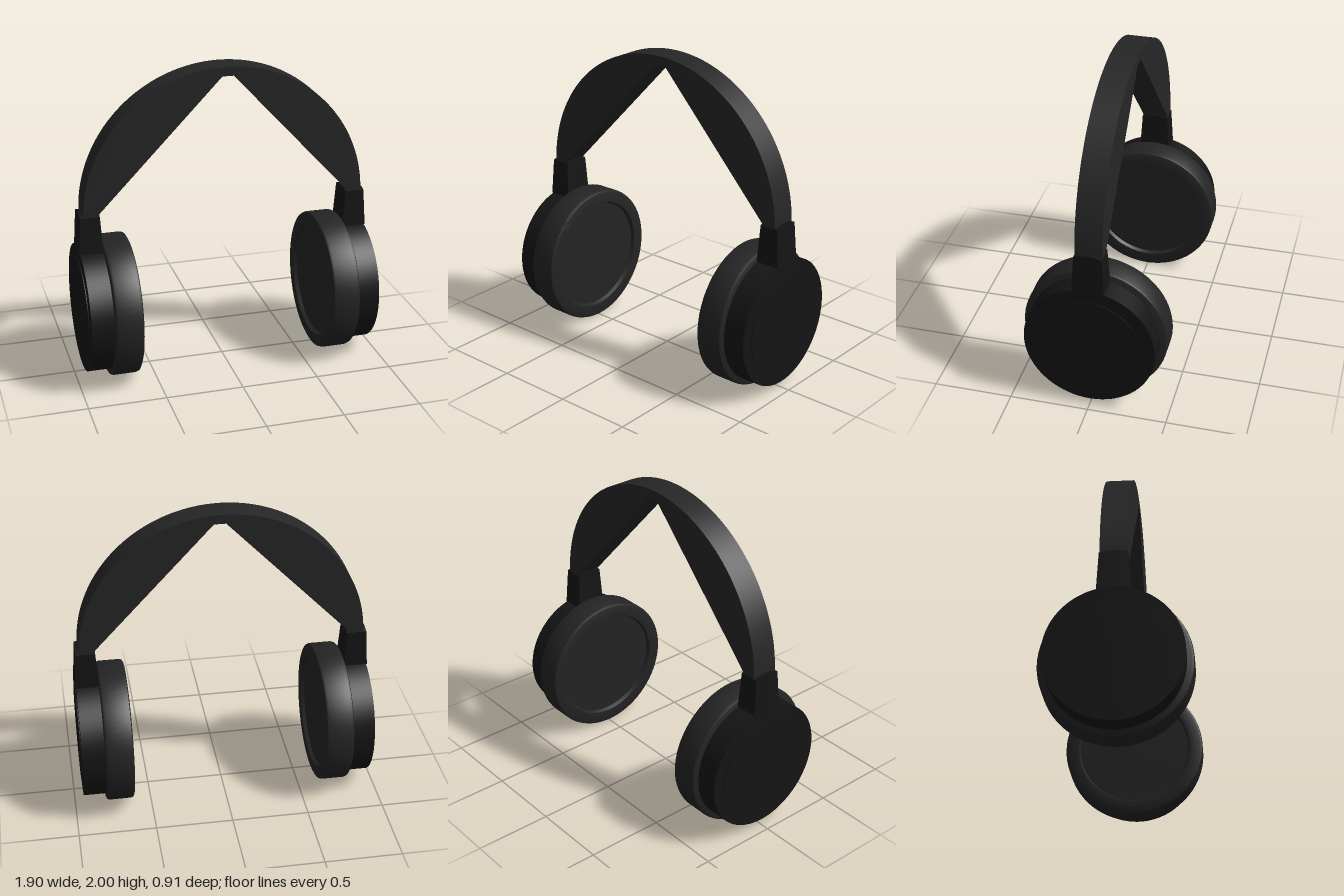
import * as THREE from 'three';
import { toCreasedNormals } from 'three/addons/utils/BufferGeometryUtils.js';

const bandMat = new THREE.MeshStandardMaterial({ color: 0x262626 });
const cushionMat = new THREE.MeshStandardMaterial({ color: 0x242424 });
const shellMat = new THREE.MeshStandardMaterial({ color: 0x151515 });

function mesh(name, geometry, material) {
  const m = new THREE.Mesh(geometry, material);
  m.name = name;
  return m;
}

// Solid of revolution about the x axis; profile is [radius, x] with x increasing
function turned(profile) {
  const geo = new THREE.LatheGeometry(profile.map(([r, x]) => new THREE.Vector2(r, x)), 72);
  geo.rotateZ(-Math.PI / 2);
  return toCreasedNormals(geo, 0.5);
}

// Arched band: round outside, straight tapering inner edges
function headband() {
  const shape = new THREE.Shape();
  shape.moveTo(0.915, 1.085);
  shape.absarc(0, 1.085, 0.915, 0, Math.PI, false);
  shape.lineTo(-0.845, 1.085);
  shape.lineTo(-0.02, 1.94);
  shape.lineTo(0.055, 1.94);
  shape.lineTo(0.845, 1.085);
  shape.closePath();
  const geo = new THREE.ExtrudeGeometry(shape, { depth: 0.17, bevelEnabled: false, curveSegments: 64 });
  geo.translate(0, 0, -0.085);
  return mesh('headband', toCreasedNormals(geo, 0.4), bandMat);
}

// Tapered connector with a slightly arched top
function connector() {
  const geo = new THREE.BoxGeometry(1, 1, 1, 1, 1, 6);
  const p = geo.attributes.position;
  for (let i = 0; i < p.count; i++) {
    const top = p.getY(i) > 0, z = p.getZ(i);
    p.setXYZ(i,
      0.873 + p.getX(i) * (top ? 0.125 : 0.152),
      top ? 1.115 - 0.06 * z * z : 0.86,
      z * (top ? 0.174 : 0.2));
  }
  return mesh('connector', toCreasedNormals(geo, 0.5), shellMat);
}

function earCup(name) {
  const cup = new THREE.Group();
  cup.name = name;

  // Ear cushion with rounded rims and a shallow recess on the inside
  const cushion = mesh('cushion', turned([
    [0, 0.645], [0.36, 0.645], [0.37, 0.622], [0.44, 0.62], [0.452, 0.626], [0.457, 0.64],
    [0.457, 0.78], [0.452, 0.794], [0.44, 0.8], [0, 0.8],
  ]), cushionMat);

  // Outer housing with a slightly raised cover disc
  const shell = mesh('shell', turned([
    [0, 0.78], [0.413, 0.78], [0.413, 0.944], [0.33, 0.944], [0.33, 0.949], [0, 0.949],
  ]), shellMat);

  cushion.position.y = shell.position.y = 0.457;
  cup.add(cushion, shell, connector());
  return cup;
}

export function createModel() {
  const model = new THREE.Group();
  model.name = 'headphones';
  const left = earCup('leftEarCup');
  const right = earCup('rightEarCup');
  right.rotation.y = Math.PI;
  model.add(headband(), left, right);
  return model;
}
